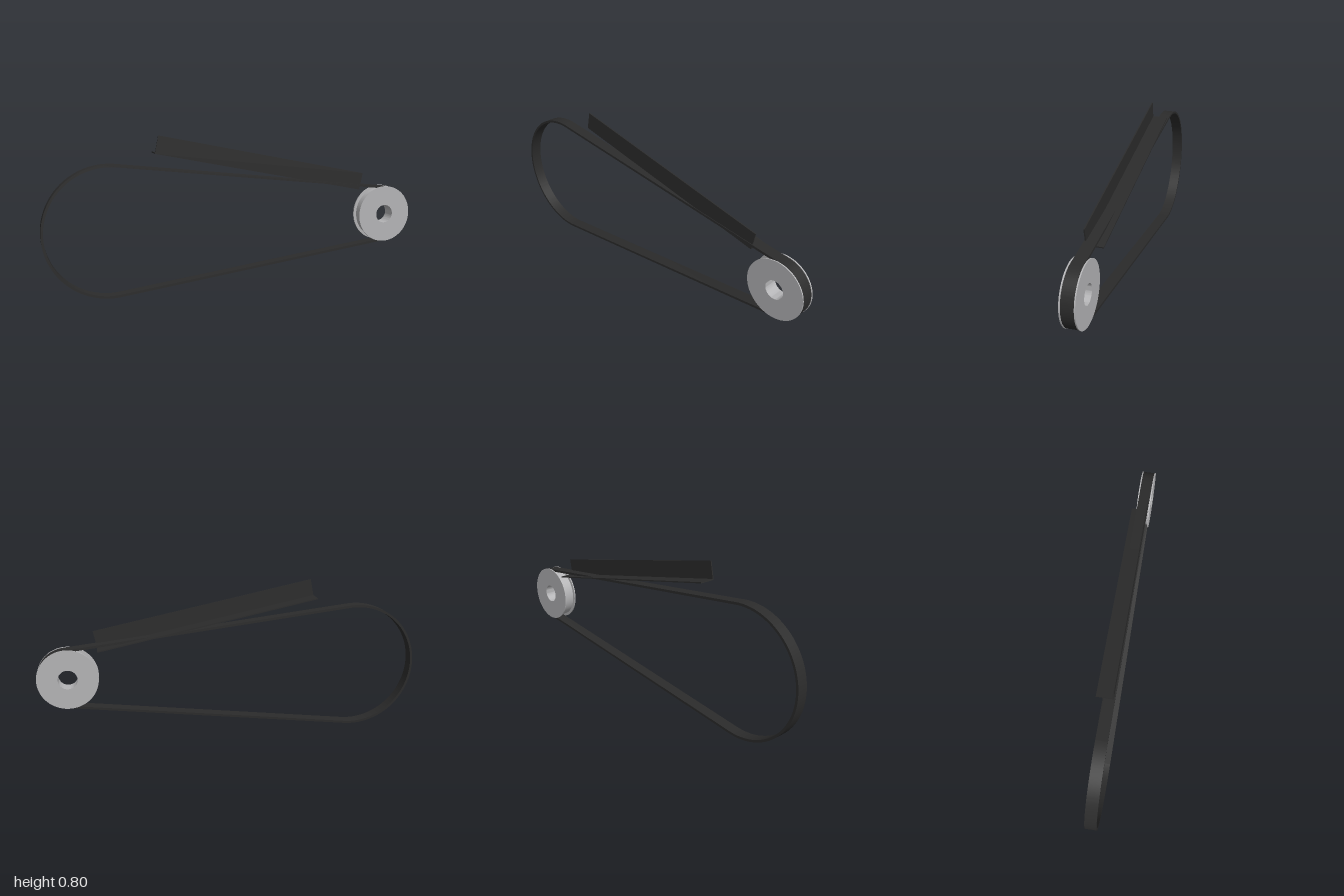
import * as THREE from 'three';
import { toCreasedNormals } from 'three/addons/utils/BufferGeometryUtils.js';

// Two wheel centres the belt runs around
const BIG = { x: -0.666, y: 0.334, r: 0.334 };
const SMALL = { x: 0.845, y: 0.346, r: 0.152 };

// Draws the loop of two arcs joined by tangent lines, moved inwards by inset
function beltLoop(path, inset) {
  const dx = SMALL.x - BIG.x, dy = SMALL.y - BIG.y;
  const axis = Math.atan2(dy, dx);
  const spread = Math.acos((BIG.r - SMALL.r) / Math.hypot(dx, dy));
  const top = axis + spread, bottom = axis - spread;
  path.absarc(BIG.x, BIG.y, BIG.r - inset, top, bottom + 2 * Math.PI, false);
  path.absarc(SMALL.x, SMALL.y, SMALL.r - inset, bottom, top, false);
  path.closePath();
  return path;
}

export function createModel() {
  const black = new THREE.MeshStandardMaterial({ color: 0x2b2b2b });
  black.name = 'black';
  const grey = new THREE.MeshStandardMaterial({ color: 0xb4b4b6 });
  grey.name = 'grey metal';

  const model = new THREE.Group();
  model.name = 'beltDrive';
  const add = (name, geometry, material, parent = model) => {
    const mesh = new THREE.Mesh(geometry, material);
    mesh.name = name;
    parent.add(mesh);
    return mesh;
  };

  // Belt: thin closed band
  const outline = beltLoop(new THREE.Shape(), 0);
  outline.holes.push(beltLoop(new THREE.Path(), 0.012));
  const beltGeometry = new THREE.ExtrudeGeometry(outline, { depth: 0.059, bevelEnabled: false, curveSegments: 48 });
  add('belt', toCreasedNormals(beltGeometry, 0.5), black).position.z = -0.019;

  // Pulley: two rims, a groove for the belt and a bore
  const profile = [
    [0.049, -0.026], [0.154, -0.026], [0.154, -0.02], [0.139, -0.019],
    [0.139, 0.04], [0.154, 0.041], [0.154, 0.047], [0.049, 0.047], [0.049, -0.026],
  ].map(([r, h]) => new THREE.Vector2(r, h));
  const pulleyGeometry = toCreasedNormals(new THREE.LatheGeometry(profile, 64), 0.5);
  const pulley = add('pulley', pulleyGeometry, grey);
  pulley.rotation.x = Math.PI / 2;
  pulley.position.set(SMALL.x, SMALL.y, 0);

  // Guard: sloping angle strip, upright in front with a ledge along its lower edge
  const guard = new THREE.Group();
  guard.name = 'beltGuard';
  guard.position.set(-0.44, 0.714, 0);
  guard.rotation.z = -Math.atan2(0.227, 1.13);
  model.add(guard);
  const length = 1.153, height = 0.092, thick = 0.006;
  add('guardPlate', new THREE.BoxGeometry(length, height, thick), black, guard)
    .position.set(length / 2, height / 2, 0.034);
  add('guardLedge', new THREE.BoxGeometry(length, thick, 0.078), black, guard)
    .position.set(length / 2, thick / 2, -0.008);

  return model;
}
